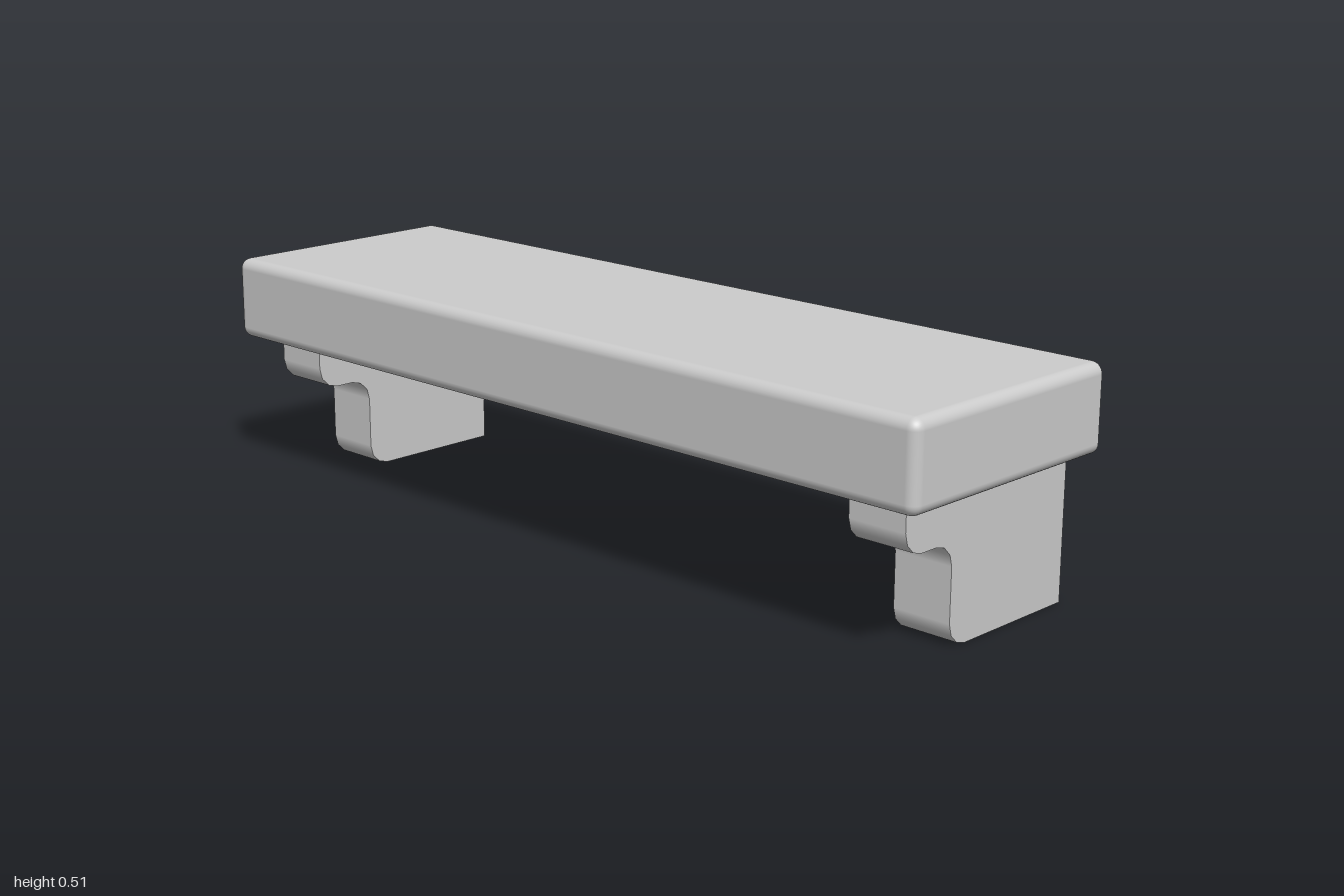
import * as THREE from 'three';
import { RoundedBoxGeometry } from 'three/addons/geometries/RoundedBoxGeometry.js';

const BACK = -0.29, FRONT = 0.29;
const material = new THREE.MeshStandardMaterial({ color: 0xcccccc, side: THREE.DoubleSide });

function addMesh(parent, geometry, name) {
  const mesh = new THREE.Mesh(geometry, material);
  mesh.name = name;
  parent.add(mesh);
  return mesh;
}

// Hollow rounded slab, cut open along the plane z = BACK
function slabGeometry(width, bottom, top, radius) {
  const box = new RoundedBoxGeometry(width, top - bottom, 2 * (FRONT - BACK), 4, radius);
  box.translate(0, (top + bottom) / 2, BACK);
  const p = box.attributes.position, n = box.attributes.normal;
  const positions = [], normals = [];
  for (let i = 0; i < p.count; i += 3) {
    const corners = [i, i + 1, i + 2];
    if (corners.every((c) => p.getZ(c) < BACK)) continue;
    for (const c of corners) {
      positions.push(p.getX(c), p.getY(c), Math.max(p.getZ(c), BACK));
      normals.push(n.getX(c), n.getY(c), n.getZ(c));
    }
  }
  const g = new THREE.BufferGeometry();
  g.setAttribute('position', new THREE.Float32BufferAttribute(positions, 3));
  g.setAttribute('normal', new THREE.Float32BufferAttribute(normals, 3));
  return g;
}

// Stepped bracket outline from top front to bottom back: z, y and normal angle
function bracketProfile() {
  const r = 0.05, steps = 3;
  const points = [{ z: 0.22, y: 0.34, a: 0 }];
  const arc = (cz, cy, from, to, flip) => {
    for (let i = 0; i <= steps; i++) {
      const t = from + ((to - from) * i) / steps;
      points.push({ z: cz + r * Math.cos(t), y: cy + r * Math.sin(t), a: t - flip });
    }
  };
  arc(0.17, 0.266, 0, -Math.PI / 2, 0);
  arc(0.125, 0.166, Math.PI / 2, Math.PI, Math.PI);
  arc(0.025, 0.05, 0, -Math.PI / 2, 0);
  points.push({ z: BACK, y: 0, a: -Math.PI / 2 });
  return points;
}

function makeBracket(name, width) {
  const bracket = new THREE.Group();
  bracket.name = name;
  const profile = bracketProfile();

  // Smooth front and bottom strip
  const strip = new THREE.PlaneGeometry(width, 1, 1, profile.length - 1);
  profile.forEach(({ z, y, a }, row) => {
    for (let k = 0; k < 2; k++) {
      const v = row * 2 + k;
      strip.attributes.position.setXYZ(v, (k - 0.5) * width, y, z);
      strip.attributes.normal.setXYZ(v, 0, Math.sin(a), Math.cos(a));
    }
  });
  addMesh(bracket, strip, 'bracketFront');

  // Flat side walls, open at the back and top
  for (const side of [-1, 1]) {
    const outline = profile.map(({ z, y }) => new THREE.Vector2(-side * z, y));
    outline.push(new THREE.Vector2(-side * BACK, 0.34));
    const wall = new THREE.ShapeGeometry(new THREE.Shape(outline));
    wall.rotateY((side * Math.PI) / 2).translate((side * width) / 2, 0, 0);
    addMesh(bracket, wall, side > 0 ? 'bracketLeftWall' : 'bracketRightWall');
  }
  return bracket;
}

export function createModel() {
  const model = new THREE.Group();
  model.name = 'mantelShelf';
  addMesh(model, slabGeometry(2, 0.323, 0.51, 0.024), 'shelf');
  for (const side of [-1, 1]) {
    const bracket = makeBracket(side > 0 ? 'leftBracket' : 'rightBracket', 0.135);
    bracket.position.x = side * 0.861;
    model.add(bracket);
  }
  return model;
}
